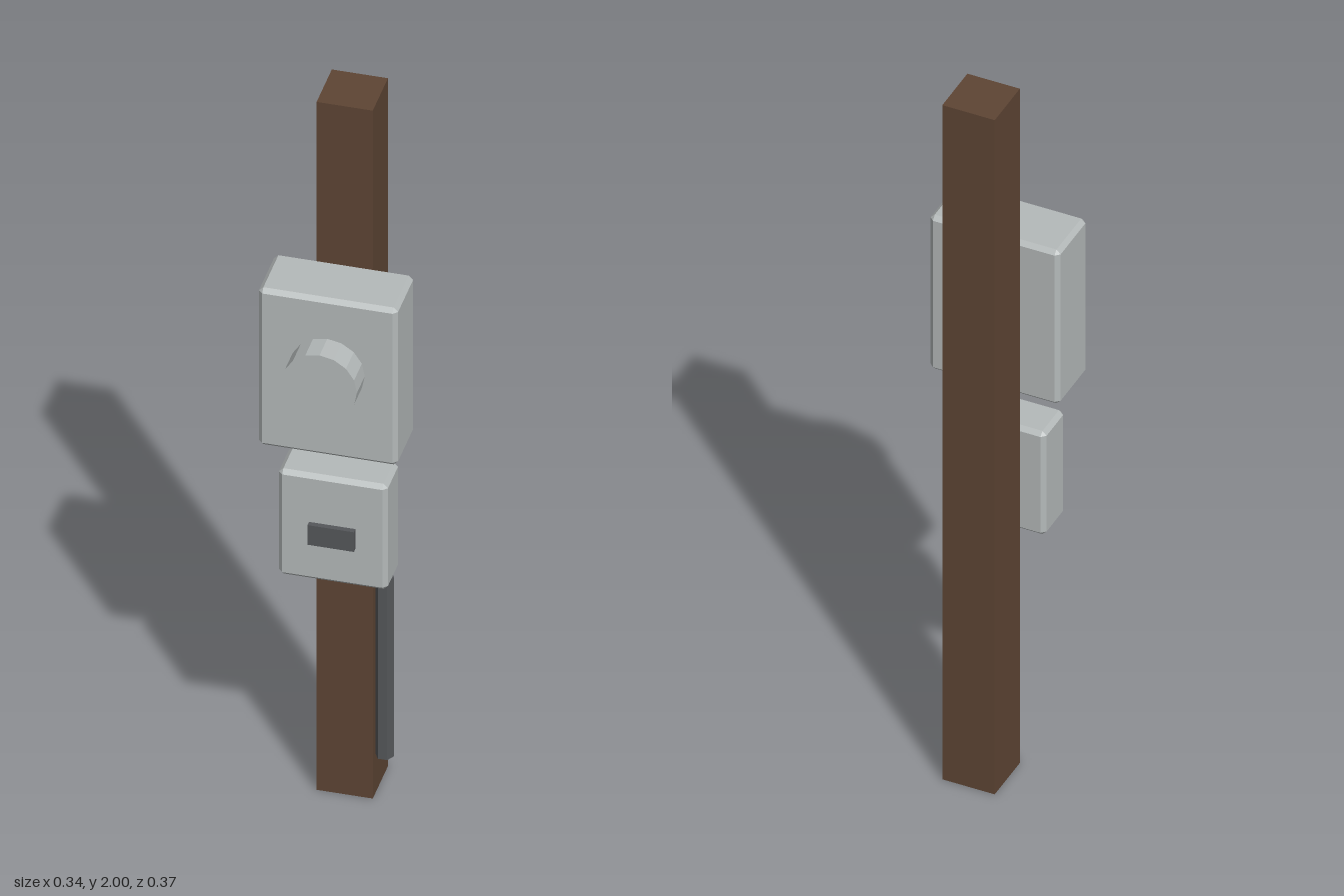
import * as THREE from 'three';
import { ConvexGeometry } from 'three/addons/geometries/ConvexGeometry.js';

const material = (name, color) => {
  const m = new THREE.MeshStandardMaterial({ color });
  m.name = name;
  return m;
};

// Box with every edge and corner chamfered by c
function chamferedBox(w, h, d, c) {
  const half = [w / 2, h / 2, d / 2];
  const points = [];
  for (const sx of [-1, 1]) for (const sy of [-1, 1]) for (const sz of [-1, 1]) {
    for (let axis = 0; axis < 3; axis++) {
      const inset = half.map((v, i) => (i === axis ? v : v - c));
      points.push(new THREE.Vector3(sx * inset[0], sy * inset[1], sz * inset[2]));
    }
  }
  return new ConvexGeometry(points);
}

export function createModel() {
  const wood = material('brown wood', 0x5e4534);
  const casing = material('light grey casing', 0xb4b9b9);
  const dark = material('dark grey', 0x55575a);

  const model = new THREE.Group();
  model.name = 'meterPost';
  const add = (name, geometry, mat, x, y, z) => {
    const mesh = new THREE.Mesh(geometry, mat);
    mesh.name = name;
    mesh.position.set(x, y, z);
    model.add(mesh);
  };

  // Square timber post
  add('post', new THREE.BoxGeometry(0.138, 2, 0.138), wood, 0, 1, -0.115);

  // Upper box with a round faceted dial
  add('meterBox', chamferedBox(0.342, 0.456, 0.158, 0.011), casing, 0, 1.317, 0.033);
  const dial = new THREE.CylinderGeometry(0.092, 0.092, 0.081, 16).toNonIndexed();
  dial.computeVertexNormals();
  dial.rotateX(Math.PI / 2);
  add('meterDial', dial, casing, 0, 1.34, 0.1425);

  // Lower box with a raised switch plate
  add('breakerBox', chamferedBox(0.268, 0.306, 0.113, 0.011), casing, 0, 0.842, 0.0105);
  add('switchPlate', new THREE.BoxGeometry(0.114, 0.057, 0.023), dark, 0, 0.83, 0.0695);

  // Six-sided conduit hanging below the lower box
  const conduit = new THREE.CylinderGeometry(0.023, 0.023, 0.52, 6).toNonIndexed();
  conduit.computeVertexNormals();
  conduit.rotateY(Math.PI / 2);
  add('conduit', conduit, dark, 0.114, 0.435, 0.0115);

  return model;
}
